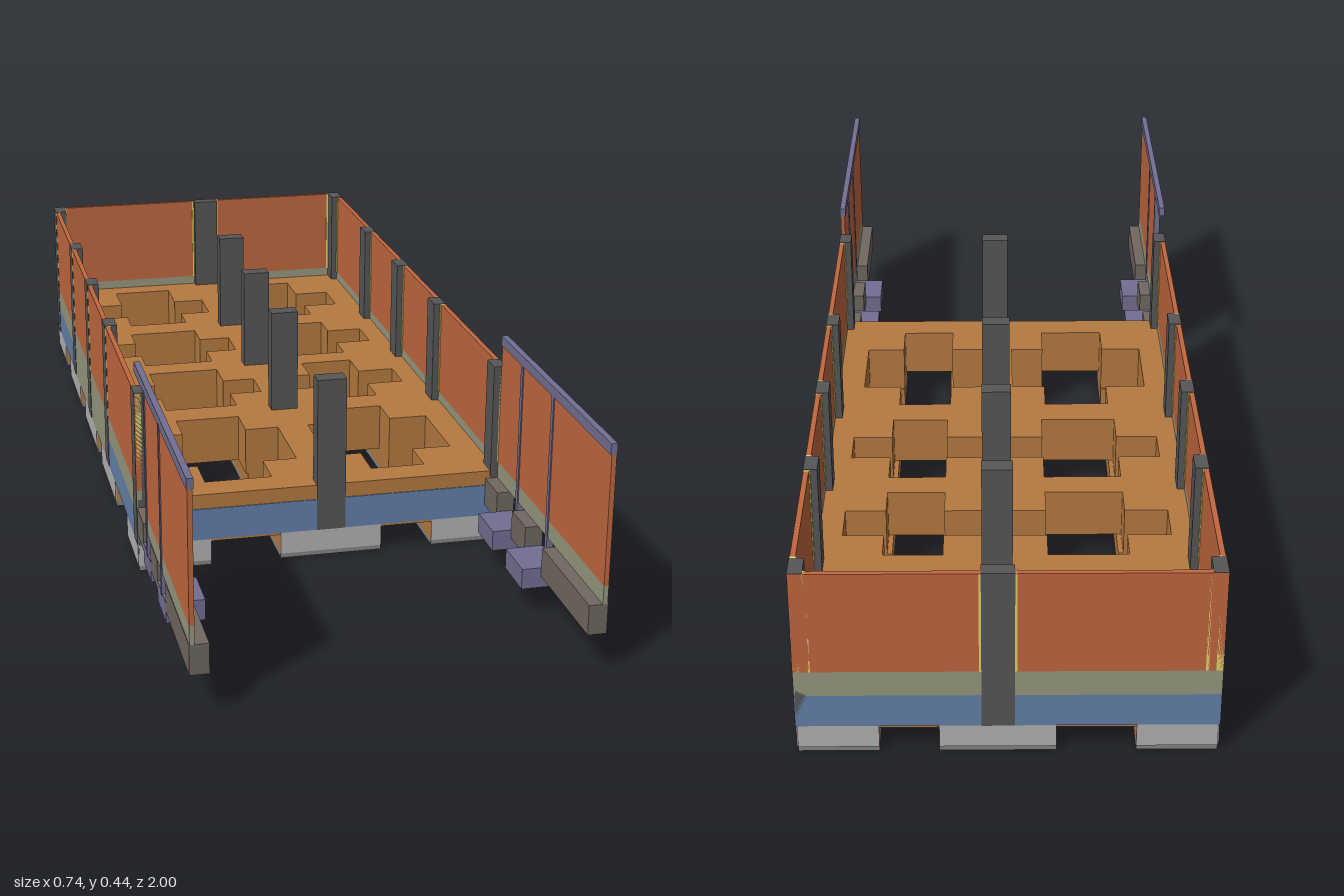
import * as THREE from 'three';

const COLORS = {
  orange: 0xc0673f, sage: 0x96987e, blue: 0x6480aa, brown: 0xb57a40, dark: 0x565656,
  light: 0xb2b2b2, pad: 0x858585, purple: 0x726e92, beam: 0x706860, yellow: 0xe2d668,
};
const mats = {};
const mat = (c) => (mats[c] ??= new THREE.MeshStandardMaterial({ color: COLORS[c], flatShading: true }));

// Box given by its extents on each axis
function box(group, name, color, [x0, x1], [y0, y1], [z0, z1]) {
  const m = new THREE.Mesh(new THREE.BoxGeometry(Math.abs(x1 - x0), y1 - y0, z1 - z0), mat(color));
  m.position.set((x0 + x1) / 2, (y0 + y1) / 2, (z0 + z1) / 2);
  m.name = name;
  group.add(m);
}

// Cross-shaped opening: outer span [a0,a3] and narrow span [a1,a2] on each axis
function cross([x0, x1, x2, x3], [z0, z1, z2, z3]) {
  const pts = [[x1, z0], [x2, z0], [x2, z1], [x3, z1], [x3, z2], [x2, z2],
    [x2, z3], [x1, z3], [x1, z2], [x0, z2], [x0, z1], [x1, z1]];
  return new THREE.Path(pts.map(([x, z]) => new THREE.Vector2(x, -z)));
}

function part(parent, name) {
  const g = new THREE.Group();
  g.name = name;
  parent.add(g);
  return g;
}

const H = 0.37, BACK = -1, FRONT = 0.41, FLOOR = 0.15, BASE = 0.055;

// Floor slab with two columns of cross-shaped openings
function addFloor(model) {
  const e = 0.368;
  const s = new THREE.Shape([[-e, -0.408], [e, -0.408], [e, 0.998], [-e, 0.998]].map((p) => new THREE.Vector2(...p)));
  const outerX = [[-0.31, -0.225, -0.09, -0.02], [0.045, 0.115, 0.225, 0.305]];
  const innerX = [[-0.32, -0.235, -0.08, -0.01], [0.04, 0.12, 0.235, 0.315]];
  const rows = [
    [outerX, [-0.94, -0.84, -0.74, -0.67]],
    [innerX, [-0.6, -0.53, -0.44, -0.37]],
    [innerX, [-0.31, -0.23, -0.145, -0.07]],
    [outerX, [0, 0.08, 0.26, 0.345]],
  ];
  for (const [xs, z] of rows) for (const x of xs) s.holes.push(cross(x, z));
  const geo = new THREE.ExtrudeGeometry(s, { depth: FLOOR - 0.05, bevelEnabled: false });
  geo.rotateX(-Math.PI / 2);
  const slab = new THREE.Mesh(geo, mat('brown'));
  slab.position.y = 0.05;
  slab.name = 'floorSlab';
  model.add(slab);
}

// Feet under the lattice, with pale outer facings
function addFeet(model) {
  const g = part(model, 'feet');
  const xs = [[-0.368, -0.225], [-0.085, 0.12], [0.225, 0.368]];
  const zs = [[-0.998, -0.84], [-0.74, -0.53], [-0.44, -0.23], [-0.145, 0.08], [0.255, 0.408]];
  xs.forEach((x, i) => zs.forEach((z, j) => {
    box(g, 'foot', 'brown', x, [0.01, 0.05], z);
    box(g, 'footPad', 'pad', x, [0, 0.01], z);
    if (i === 0) box(g, 'footFacing', 'light', [-0.37, -0.368], [0.01, BASE], z);
    if (i === 2) box(g, 'footFacing', 'light', [0.368, 0.37], [0.01, BASE], z);
    if (j === 0) box(g, 'footFacing', 'light', x, [0.01, BASE], [BACK, -0.998]);
    if (j === 4) box(g, 'footFacing', 'light', x, [0.01, BASE], [0.408, FRONT]);
  }));
}

// Thin walls on three sides; the front has only the low blue band
function addWalls(model) {
  const g = part(model, 'walls');
  for (const s of [-1, 1]) {
    const skin = [s * 0.368, s * 0.37], wall = [s * 0.36, s * 0.37];
    box(g, 'sideWall', 'orange', wall, [0.17, H], [BACK, FRONT]);
    box(g, 'sideSill', 'sage', wall, [FLOOR, 0.17], [BACK, FRONT]);
    box(g, 'sideSillSkirt', 'sage', skin, [0.12, FLOOR], [BACK, FRONT]);
    box(g, 'sideBand', 'blue', skin, [BASE, 0.12], [-0.035, FRONT]);
    box(g, 'sideBand', 'sage', skin, [BASE, 0.12], [-0.625, -0.035]);
    box(g, 'sideBand', 'blue', skin, [BASE, 0.12], [BACK, -0.625]);
  }
  const x = [-0.368, 0.368];
  box(g, 'backWall', 'orange', [-0.36, 0.36], [0.17, H], [BACK, -0.99]);
  box(g, 'backSill', 'sage', [-0.36, 0.36], [FLOOR, 0.17], [BACK, -0.99]);
  box(g, 'backSillSkirt', 'sage', x, [0.12, FLOOR], [BACK, -0.998]);
  box(g, 'backBand', 'blue', x, [BASE, 0.12], [BACK, -0.998]);
  box(g, 'frontBand', 'blue', x, [BASE, 0.12], [0.408, FRONT]);
}

// Dark columns along both sides and the middle, with yellow trim on the walls
function addColumns(model) {
  const g = part(model, 'columns');
  const sideZ = [[BACK, -0.95], [-0.655, -0.605], [-0.36, -0.31], [-0.06, -0.01], [0.365, FRONT]];
  for (const z of sideZ) for (const s of [-1, 1]) {
    box(g, 'sideColumn', 'dark', [s * 0.345, s * 0.371], [BASE, H + 0.001], z);
    box(g, 'columnTrim', 'yellow', [s * 0.358, s * 0.3705], [0.17, H],
      [Math.max(z[0] - 0.005, BACK), Math.min(z[1] + 0.005, FRONT)]);
  }
  const mid = [-0.012, 0.046];
  for (const z of [-0.64, -0.34, -0.04]) box(g, 'middleColumn', 'dark', mid, [FLOOR, H], [z - 0.017, z + 0.017]);
  box(g, 'frontColumn', 'dark', mid, [BASE, H], [0.375, FRONT + 0.001]);
  box(g, 'backColumn', 'dark', mid, [BASE, H + 0.001], [BACK - 0.001, -0.973]);
  box(g, 'backTrim', 'yellow', [-0.016, 0.05], [0.17, H], [BACK - 0.0005, -0.988]);
  for (const s of [-1, 1]) box(g, 'backTrim', 'yellow', [s * 0.34, s * 0.346], [0.17, H], [BACK, -0.988]);
}

// Freestanding side screens in front: notched beam, blocks, posts, panel and cap
function addScreen(model, s) {
  const g = part(model, s > 0 ? 'leftScreen' : 'rightScreen');
  const wall = [s * 0.36, s * 0.369];
  const start = s > 0 ? FRONT : 0.53;
  box(g, 'screenPanel', 'orange', wall, [0.17, 0.415], [start, 1]);
  box(g, 'screenSill', 'sage', wall, [0.135, 0.17], [start, 1]);
  box(g, 'screenCap', 'purple', [s * 0.358, s * 0.37], [0.415, 0.435], [FRONT, 1]);
  for (const z of [[FRONT, 0.487], [0.578, 0.658], [0.754, 1]])
    box(g, 'screenBeam', 'beam', [s * 0.335, s * 0.37], [0.078, 0.135], z);
  for (const [z0, z1, p] of [[0.487, 0.578, 0.535], [0.658, 0.754, 0.708]]) {
    box(g, 'screenBlock', 'purple', [s * 0.298, s * 0.37], [BASE, 0.095], [z0, z1]);
    box(g, 'screenPost', 'purple', [s * 0.358, s * 0.371], [0.09, 0.42], [p - 0.006, p + 0.006]);
  }
}

export function createModel() {
  const model = new THREE.Group();
  model.name = 'openHall';
  addFloor(model);
  addFeet(model);
  addWalls(model);
  addColumns(model);
  for (const s of [-1, 1]) addScreen(model, s);
  return model;
}
